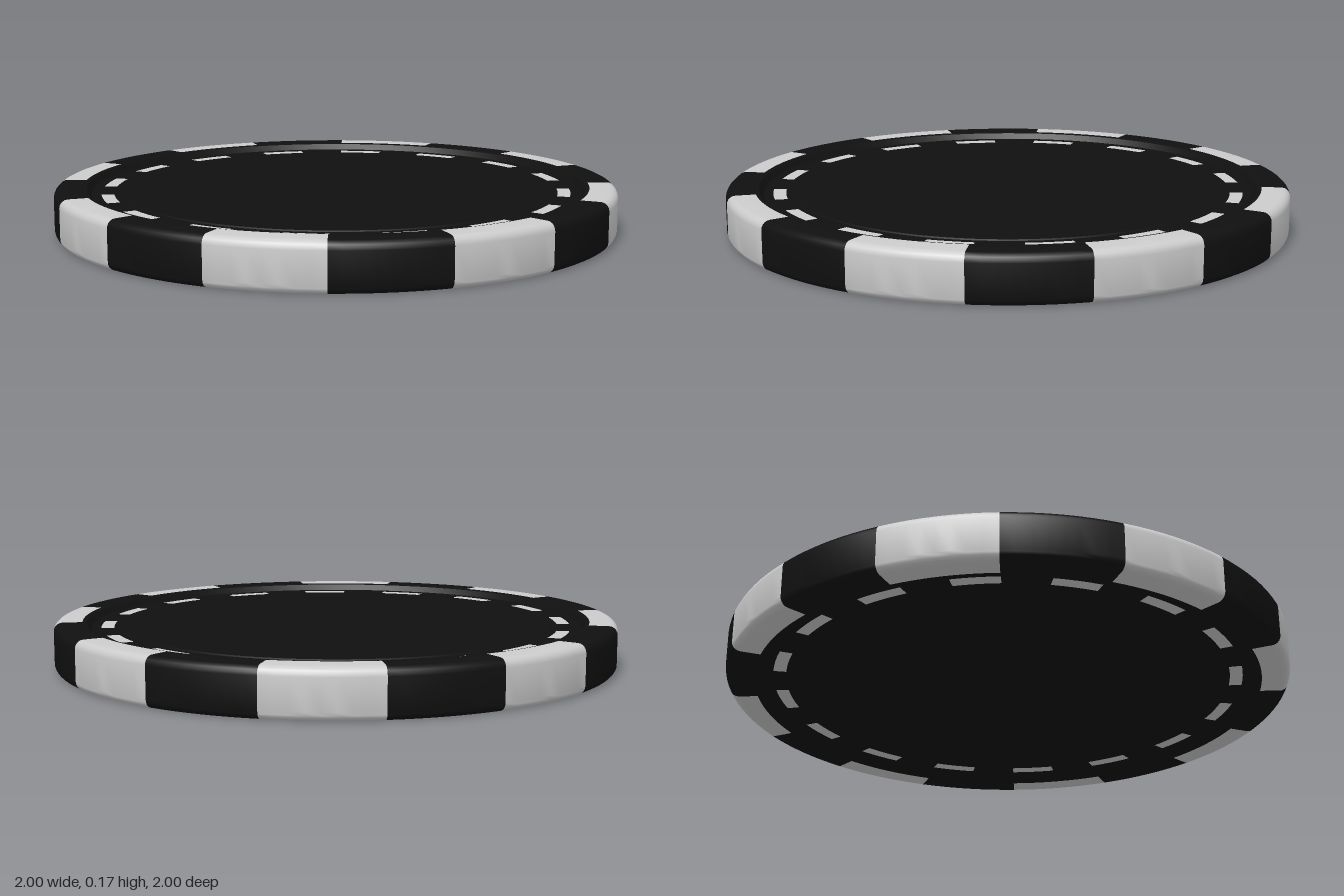
import * as THREE from 'three';
import { toCreasedNormals } from 'three/addons/utils/BufferGeometryUtils.js';

const H = 0.168;            // thickness
const FLOOR = H - 0.023;    // recessed face height
const INLAY = FLOOR + 0.004;
const FILLET = 0.03;

const light = new THREE.MeshStandardMaterial({ color: 0xcccccc });
const dark = new THREE.MeshStandardMaterial({ color: 0x101010 });

// Lathe a profile of [radius, y] pairs over part of a turn
function sweep(name, profile, material, segments, start = 0, length = Math.PI * 2) {
  const points = profile.map(([r, y]) => new THREE.Vector2(r, y));
  const geometry = new THREE.LatheGeometry(points, segments, start, length);
  const mesh = new THREE.Mesh(toCreasedNormals(geometry, Math.PI / 6), material);
  mesh.name = name;
  return mesh;
}

// The same profile on the underside
const flip = (profile) => profile.map(([r, y]) => [r, H - y]).reverse();

export function createModel() {
  const chip = new THREE.Group();
  chip.name = 'chip';

  // Upper half of the rounded rim, from the outer wall to its inner lip
  const upperRim = [];
  for (let i = 0; i <= 5; i++) {
    const a = (i / 5) * Math.PI / 2;
    upperRim.push([1 - FILLET + FILLET * Math.cos(a), H - FILLET + FILLET * Math.sin(a)]);
  }
  upperRim.push([0.9, H]);
  const rimProfile = [...flip(upperRim), ...upperRim];

  // Sixteen rim blocks, alternately light and dark
  const rim = new THREE.Group();
  rim.name = 'rim';
  const block = Math.PI / 8;
  for (let i = 0; i < 16; i++) {
    const isLight = i % 2 === 0;
    rim.add(sweep(isLight ? 'lightRimBlock' : 'darkRimBlock', rimProfile,
      isLight ? light : dark, 8, (i - 0.5) * block, block));
  }
  chip.add(rim);

  // Face parts, repeated on top and underside
  const slope = [[0.9, H], [0.885, H - 0.003], [0.868, FLOOR], [0.835, FLOOR]];
  const dashRing = [[0.835, FLOOR], [0.79, FLOOR]];
  const inlay = [[0.79, FLOOR], [0.767, FLOOR], [0.762, INLAY], [0, INLAY]];
  for (const side of ['top', 'bottom']) {
    const place = side === 'top' ? (p) => p : flip;
    const face = new THREE.Group();
    face.name = side + 'Face';
    face.add(sweep('innerSlope', place(slope), dark, 128));
    face.add(sweep('centreInlay', place(inlay), dark, 128));

    // Ring of sixteen light dashes with dark gaps
    const dash = Math.PI / 16;
    for (let i = 0; i < 32; i++) {
      const isLight = i % 2 === 0;
      face.add(sweep(isLight ? 'dash' : 'dashGap', place(dashRing),
        isLight ? light : dark, 4, i * dash, dash));
    }
    chip.add(face);
  }
  return chip;
}
